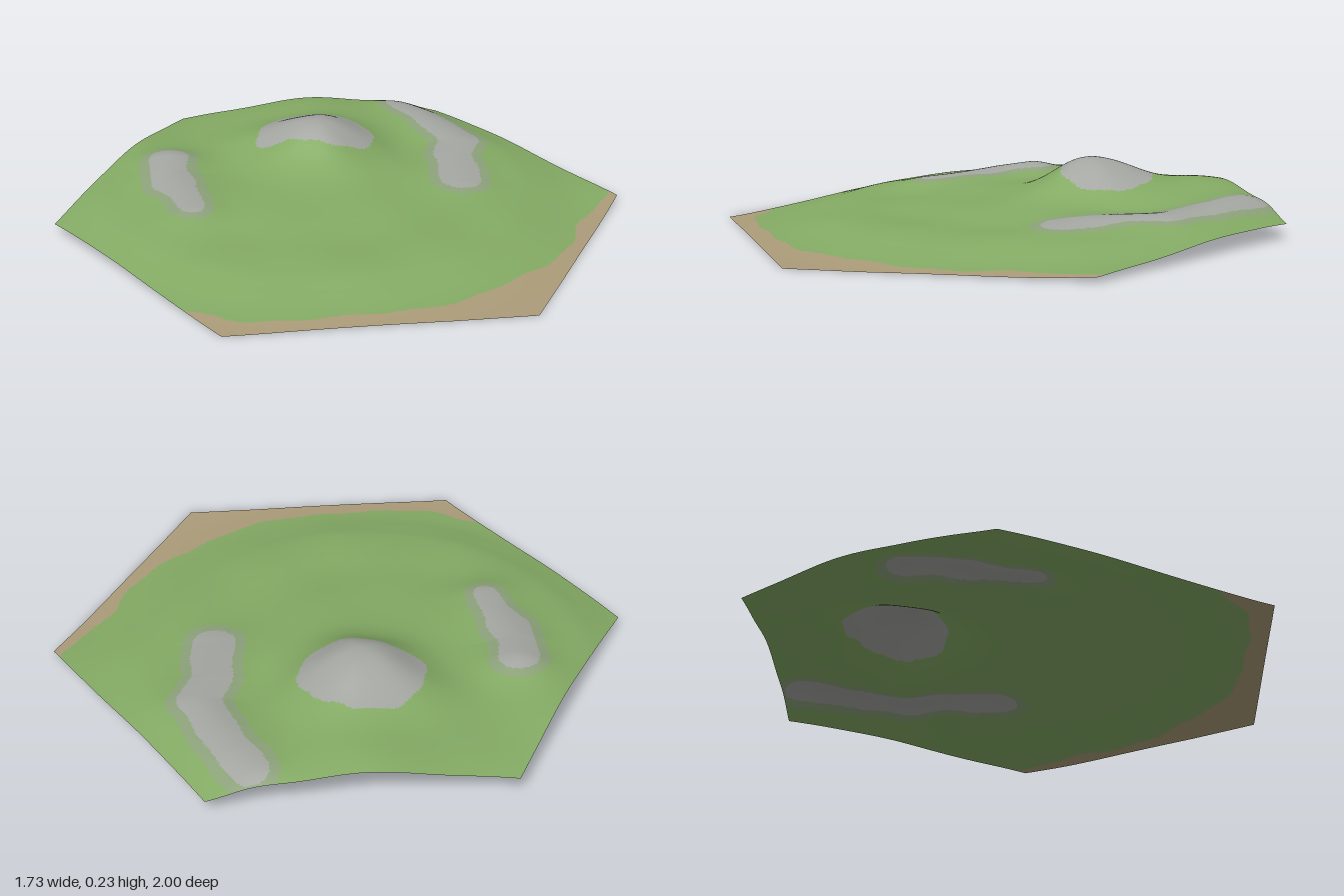
import * as THREE from 'three';

const N = 100; // grid cells along each side of the hexagon
const COLOURS = {
  grass: 0x84aa64, rock: 0xa4a6a1, scree: 0x8ca27a, sand: 0xab9c79,
};
const SHORE = { x: -0.15, z: -0.1, radius: 0.965 };
const PEAK = { x: -0.21, z: -0.285 };
// Ridge paths: x, z, added height, half width of bare rock
const RIDGES = [
  [[-0.1, -0.87, 0.028, 0.06], [0.03, -0.78, 0.024, 0.065], [0.13, -0.7, 0.026, 0.065],
    [0.225, -0.61, 0.028, 0.075], [0.25, -0.48, 0.025, 0.07], [0.345, -0.29, 0.014, 0.075]],
  [[-0.66, 0.02, 0.04, 0.07], [-0.62, 0.12, 0.035, 0.065], [-0.55, 0.2, 0.032, 0.075],
    [-0.47, 0.28, 0.03, 0.05], [-0.41, 0.35, 0.03, 0.04]],
];
// Height falls from the middle of the land, over a terrace, to the shore
const PROFILE = [[0, 0.085], [0.3, 0.075], [0.5, 0.06], [0.65, 0.056], [0.75, 0.048],
  [0.83, 0.032], [0.92, 0.014], [1, 0.006], [1.1, 0.001], [1.2, 0], [1.4, 0]];

const { lerp, clamp, smoothstep } = THREE.MathUtils;
const bump = (x, z, cx, cz, size) => Math.exp(-((x - cx) ** 2 + (z - cz) ** 2) / size ** 2);

function shoreDistance(x, z) {
  return Math.hypot(x - SHORE.x, z - SHORE.z);
}

function profileHeight(r) {
  const i = Math.max(1, PROFILE.findIndex((p) => p[0] > r));
  const [r0, h0] = PROFILE[i - 1], [r1, h1] = PROFILE[i];
  const slope = (k) => (k < 1 || k > PROFILE.length - 2) ? 0
    : (PROFILE[k + 1][1] - PROFILE[k - 1][1]) / (PROFILE[k + 1][0] - PROFILE[k - 1][0]);
  const w = r1 - r0, t = (r - r0) / w, t2 = t * t, t3 = t2 * t;
  return h0 * (2 * t3 - 3 * t2 + 1) + h1 * (3 * t2 - 2 * t3)
    + w * (slope(i - 1) * (t3 - 2 * t2 + t) + slope(i) * (t3 - t2));
}

// Nearest point on a ridge path, with its height and rock width
function nearRidge(path, x, z) {
  let best = { distance: Infinity };
  for (let i = 1; i < path.length; i++) {
    const a = path[i - 1], b = path[i], dx = b[0] - a[0], dz = b[1] - a[1];
    const t = clamp(((x - a[0]) * dx + (z - a[1]) * dz) / (dx * dx + dz * dz), 0, 1);
    const distance = Math.hypot(x - a[0] - dx * t, z - a[1] - dz * t);
    if (distance < best.distance) best = { distance, height: lerp(a[2], b[2], t), width: lerp(a[3], b[3], t) };
  }
  return best;
}

// Peak is steeper on its front and left flanks, with faint gullies
function peakHeight(x, z) {
  const dx = x - PEAK.x, dz = z - PEAK.z, a = Math.atan2(dz, dx);
  const d = Math.hypot(dx / (dx > 0 ? 0.175 : 0.205), dz / (dz > 0 ? 0.155 : 0.19));
  return 0.115 * Math.exp(-((d * 0.9 * (1 + 0.03 * Math.sin(5 * a + 1))) ** 2.1));
}

// Bare rock cap of the peak, with a bulge at the front
function onPeakRock(x, z) {
  const dx = x + 0.23, dz = z + 0.335, a = Math.atan2(dz, dx);
  const reach = 0.187 + 0.022 * Math.cos(2 * a) - 0.012 * Math.sin(a)
    + 0.055 * Math.exp(-(((a - 2.35) / 0.4) ** 2)) + 0.004 * Math.sin(9 * a);
  return Math.hypot(dx, dz) < reach;
}

function height(x, z) {
  const r = shoreDistance(x, z);
  let y = profileHeight(r) + peakHeight(x, z);
  y += 0.027 * smoothstep(-(z * 0.8 + x * 0.5), -0.35, 0.6);
  y += 0.055 * bump(x, z, -0.38, -0.66, 0.32);
  y += 0.022 * bump(x, z, -0.86, -0.1, 0.24);
  y += 0.018 * bump(x, z, -0.6, 0.35, 0.4);
  y += 0.012 * bump(x, z, 0.87, -0.57, 0.2);
  y -= 0.012 * bump(x, z, 0.07, -0.42, 0.12);
  for (const path of RIDGES) {
    const near = nearRidge(path, x, z);
    y += near.height * Math.exp(-((near.distance / 0.115) ** 2));
  }
  // Soft rolling ground that dies away at the beach
  const inland = 1 - smoothstep(r, 0.7, 1);
  y += 0.0015 * inland * (Math.sin(17 * x + 6 * z) + Math.sin(15 * z - 9 * x + 2));
  // The front right corner lies flat on the ground
  return Math.max(0, y - 0.002 * smoothstep(r, 0.9, 1.1));
}

function zoneAt(x, z) {
  if (onPeakRock(x, z)) return 'rock';
  let zone = 'grass';
  for (const path of RIDGES) {
    const near = nearRidge(path, x, z);
    const wobble = 0.004 * Math.sin(25 * x + 19 * z);
    if (near.distance < near.width + wobble) return 'rock';
    if (near.distance < near.width + 0.036 + wobble) zone = 'scree';
  }
  const a = Math.atan2(z - SHORE.z, x - SHORE.x);
  const edge = SHORE.radius + 0.008 * Math.sin(11 * a) + 0.005 * Math.sin(27 * a + 1)
    + 0.09 * smoothstep(-z, 0.2, 0.55) + 0.05 * smoothstep(z, 0.78, 0.95);
  return x > -0.25 && x + z > 0.25 && shoreDistance(x, z) > edge ? 'sand' : zone;
}

export function createModel() {
  const group = new THREE.Group();
  group.name = 'hexTerrain';

  // Triangular grid filling a hexagon with corners at the front and back
  const positions = [], ids = new Map();
  const key = (q, r) => q * 1000 + r;
  for (let q = -N; q <= N; q++) {
    for (let r = -N; r <= N; r++) {
      if (Math.abs(q + r) > N) continue;
      const x = q * Math.sqrt(0.75) / N, z = (q * 0.5 + r) / N;
      ids.set(key(q, r), positions.length / 3);
      positions.push(x, height(x, z), z);
    }
  }

  // Sort every triangle into its ground type
  const zones = { grass: [], rock: [], scree: [], sand: [] };
  const addFace = (...corners) => {
    const face = corners.map(([q, r]) => ids.get(key(q, r)));
    if (face.includes(undefined)) return;
    const mean = (axis) => face.reduce((sum, i) => sum + positions[i * 3 + axis], 0) / 3;
    zones[zoneAt(mean(0), mean(2))].push(...face);
  };
  for (let q = -N; q <= N; q++) {
    for (let r = -N; r <= N; r++) {
      addFace([q, r], [q, r + 1], [q + 1, r]);
      addFace([q + 1, r], [q, r + 1], [q + 1, r + 1]);
    }
  }

  // Smooth normals are shared across the whole land, then split by colour
  const land = new THREE.BufferGeometry();
  land.setAttribute('position', new THREE.Float32BufferAttribute(positions, 3));
  land.setIndex(Object.values(zones).flat());
  land.computeVertexNormals();
  for (const [name, faces] of Object.entries(zones)) {
    land.setIndex(faces);
    const material = new THREE.MeshStandardMaterial({ color: COLOURS[name], side: THREE.DoubleSide });
    material.name = name;
    const mesh = new THREE.Mesh(land.toNonIndexed(), material);
    mesh.name = name + 'Ground';
    group.add(mesh);
  }
  return group;
}
